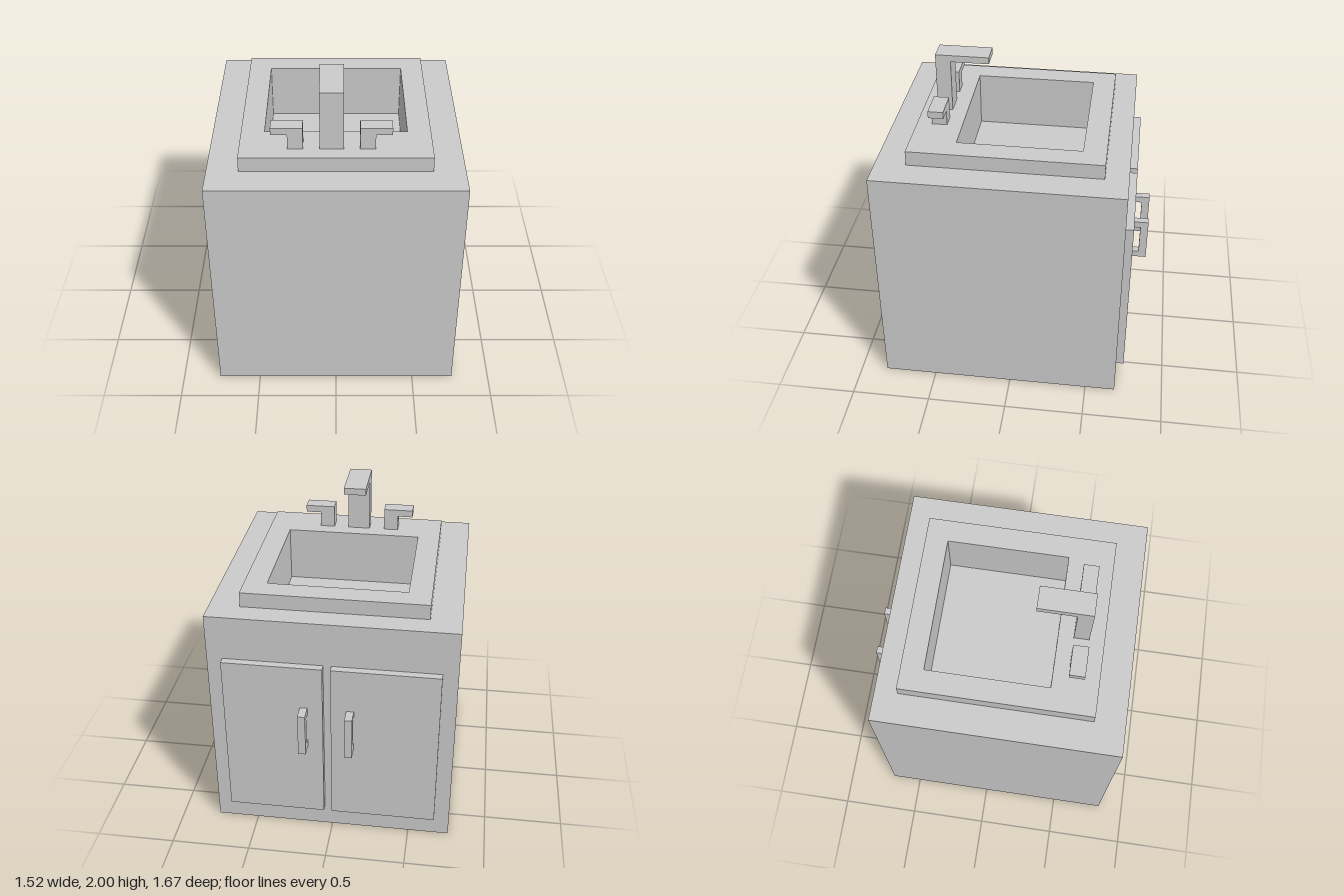
import * as THREE from 'three';

const material = new THREE.MeshStandardMaterial({ color: 0xcccccc, flatShading: true });

function add(parent, name, geometry) {
  const mesh = new THREE.Mesh(geometry, material);
  mesh.name = name;
  parent.add(mesh);
  return mesh;
}

// Box given by its [min, max] range on each axis
function block(parent, name, [x0, x1], [y0, y1], [z0, z1]) {
  const mesh = add(parent, name, new THREE.BoxGeometry(x1 - x0, y1 - y0, z1 - z0));
  mesh.position.set((x0 + x1) / 2, (y0 + y1) / 2, (z0 + z1) / 2);
}

// Counter-clockwise rectangle, with -z as the shape's upward axis
function rectPoints([x0, x1], [z0, z1]) {
  return [[x0, -z1], [x1, -z1], [x1, -z0], [x0, -z0]].map(([x, y]) => new THREE.Vector2(x, y));
}

// Rectangular frame around the basin opening
function frame(parent, name, xs, [y0, y1], zs, holeX, holeZ) {
  const shape = new THREE.Shape(rectPoints(xs, zs));
  shape.holes.push(new THREE.Path(rectPoints(holeX, holeZ)));
  const geometry = new THREE.ExtrudeGeometry(shape, { depth: y1 - y0, bevelEnabled: false });
  geometry.rotateX(-Math.PI / 2);
  add(parent, name, geometry).position.y = y0;
}

// Outline in a plane, extruded to a thickness
function profile(parent, name, points, depth) {
  const shape = new THREE.Shape(points.map(([x, y]) => new THREE.Vector2(x, y)));
  return add(parent, name, new THREE.ExtrudeGeometry(shape, { depth, bevelEnabled: false }));
}

export function createModel() {
  const group = new THREE.Group();
  group.name = 'sinkCabinet';

  // Cabinet: solid base whose top is the basin floor, then walls around the basin
  const bodyX = [-0.762, 0.762], bodyZ = [-0.692, 0.832];
  const basinX = [-0.43, 0.43], basinZ = [-0.407, 0.357], basinFloor = 1.265;
  block(group, 'cabinetBase', bodyX, [0, basinFloor], bodyZ);
  frame(group, 'cabinetTop', bodyX, [basinFloor, 1.525], bodyZ, basinX, basinZ);
  frame(group, 'sinkRim', [-0.572, 0.572], [1.525, 1.62], [-0.549, 0.641], basinX, basinZ);

  // Doors
  block(group, 'rightDoor', [-0.667, -0.002], [0.147, 1.24], [-0.74, -0.692]);
  block(group, 'leftDoor', [0.048, 0.665], [0.147, 1.24], [-0.74, -0.692]);

  // C-shaped door handles, drawn as (-z, y) and turned to face out of the doors
  const handle = [
    [0.74, 0.672], [0.835, 0.672], [0.835, 0.953], [0.74, 0.953],
    [0.74, 0.91], [0.785, 0.91], [0.785, 0.715], [0.74, 0.715],
  ];
  for (const [name, x] of [['rightDoorHandle', -0.145], ['leftDoorHandle', 0.141]]) {
    const mesh = profile(group, name, handle, 0.047);
    mesh.rotation.y = Math.PI / 2;
    mesh.position.x = x;
  }

  // Faucet with spout over the basin, drawn as (-z, y)
  const faucet = profile(group, 'faucet', [
    [-0.547, 1.62], [-0.452, 1.62], [-0.452, 1.957], [-0.213, 1.957], [-0.213, 2], [-0.547, 2],
  ], 0.142);
  faucet.rotation.y = Math.PI / 2;
  faucet.position.x = -0.096;

  // Taps with levers pointing outward
  for (const [name, side, x] of [['rightTap', -1, -0.194], ['leftTap', 1, 0.142]]) {
    const points = [[0, 1.62], [0.092, 1.62], [0.092, 1.717], [0.189, 1.717], [0.189, 1.762], [0, 1.762]];
    const tap = profile(group, name, points.map(([px, y]) => [x + side * px, y]), 0.095);
    tap.position.z = 0.452;
  }

  return group;
}
